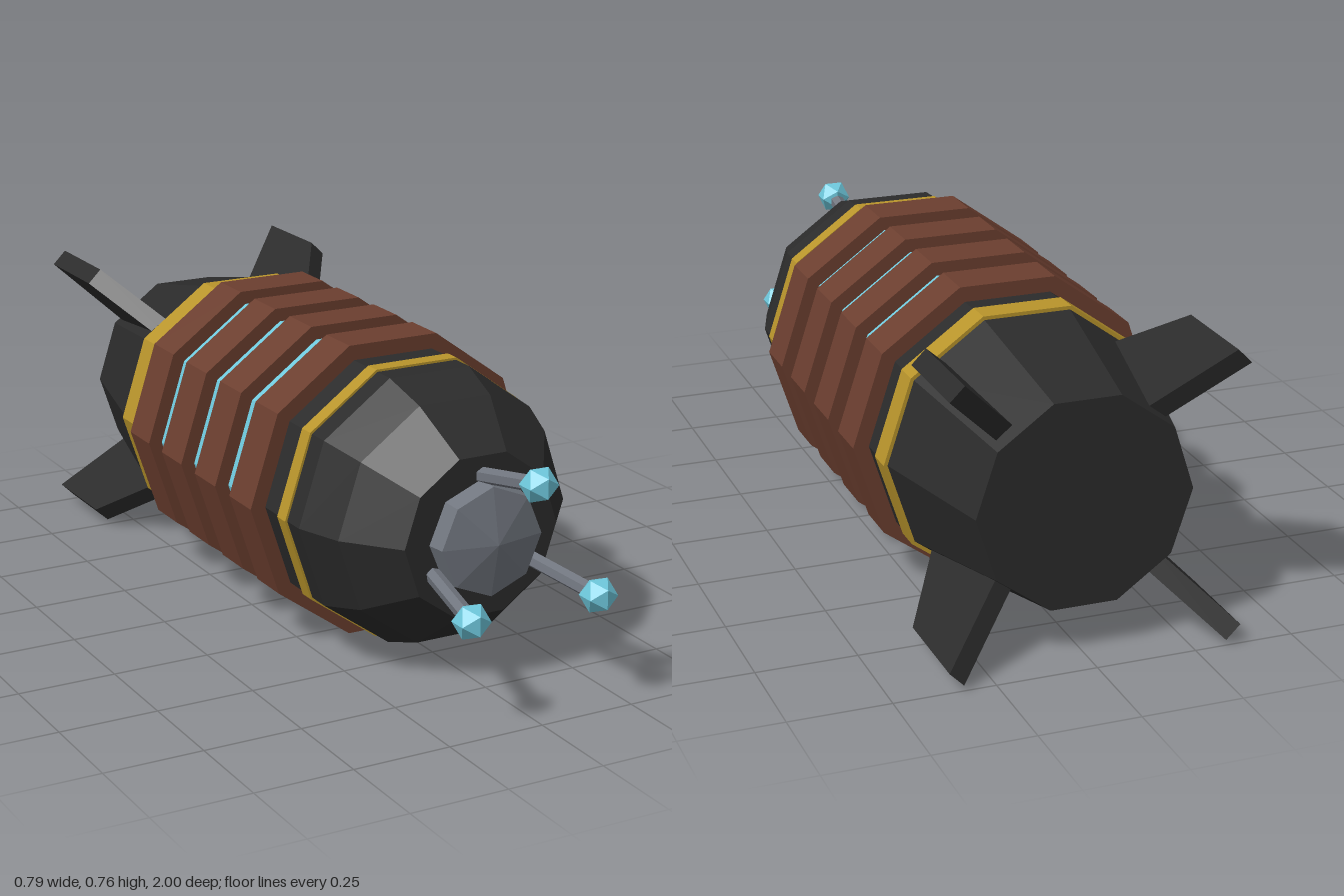
import * as THREE from 'three';

const AXIS_Y = 0.378; // height of the long axis

function material(name, color) {
  const m = new THREE.MeshStandardMaterial({ color, flatShading: true });
  m.name = name;
  return m;
}

export function createModel() {
  const black = material('charcoal', 0x2b2b2b);
  const brown = material('rust brown', 0x6b3e2f);
  const gold = material('brass', 0xb8942b);
  const cyan = material('glow cyan', 0x6ec8dc);
  const steel = material('steel grey', 0x70757e);

  const model = new THREE.Group();
  model.name = 'torpedo';
  const hull = new THREE.Group();
  hull.name = 'hull';
  hull.position.y = AXIS_Y;
  model.add(hull);

  const add = (name, geometry, mat, parent = hull) => {
    const mesh = new THREE.Mesh(geometry, mat);
    mesh.name = name;
    parent.add(mesh);
    return mesh;
  };

  // Turned solid along z from [radius, z] pairs, with a corner on the x axis
  const turned = (profile, sides) => new THREE.LatheGeometry(
    profile.map(([r, z]) => new THREE.Vector2(r, z)), sides, Math.PI / 2
  ).rotateX(Math.PI / 2);

  // Ten-sided body, tapered at both ends
  add('body', turned([
    [0, -0.915], [0.27, -0.915], [0.357, -0.53], [0.357, 0.47],
    [0.316, 0.59], [0.21, 0.72], [0, 0.72],
  ], 10), black);

  // Bands around the body
  const band = (name, r, z, width, mat) => add(name, turned([
    [0, z - width / 2], [r, z - width / 2], [r, z + width / 2], [0, z + width / 2],
  ], 10), mat);
  for (let i = 0; i < 4; i++) band('armourBand', 0.397, 0.235 - i * 0.198, 0.118, brown);
  for (let i = 0; i < 3; i++) band('glowBand', 0.363, 0.136 - i * 0.198, 0.068, cyan);
  band('frontTrimBand', 0.363, 0.389, 0.042, gold);
  band('rearTrimBand', 0.363, -0.513, 0.066, gold);

  // Blunt nose cap
  add('noseCap', turned([[0.145, 0.71], [0.137, 0.768], [0, 0.797]], 8), steel);

  // Three splayed prongs with faceted bulbs
  for (let i = 0; i < 3; i++) {
    const angle = Math.PI / 2 + (i * Math.PI * 2) / 3;
    const at = (r, z) => new THREE.Vector3(r * Math.cos(angle), r * Math.sin(angle), z);
    const start = at(0.146, 0.69);
    const end = at(0.2, 0.96);
    const dir = end.clone().sub(start);
    const rod = add('prong', new THREE.CylinderGeometry(0.02, 0.02, dir.length(), 6), steel);
    rod.position.copy(start).addScaledVector(dir, 0.5);
    rod.quaternion.setFromUnitVectors(new THREE.Vector3(0, 1, 0), dir.normalize());
    add('prongBulb', new THREE.IcosahedronGeometry(0.046, 0), cyan).position.copy(end);
  }

  // Four swept tail fins on the diagonals, drawn as (radius, z)
  const finShape = new THREE.Shape([
    [0.24, -0.475], [0.49, -0.75], [0.49, -1], [0.24, -0.865],
  ].map(([r, z]) => new THREE.Vector2(r, z)));
  const finGeometry = new THREE.ExtrudeGeometry(finShape, { depth: 0.05, bevelEnabled: false })
    .translate(0, 0, -0.025).rotateX(Math.PI / 2);
  for (let i = 0; i < 4; i++) {
    add('tailFin', finGeometry, black).rotation.z = Math.PI / 4 + (i * Math.PI) / 2;
  }

  return model;
}
